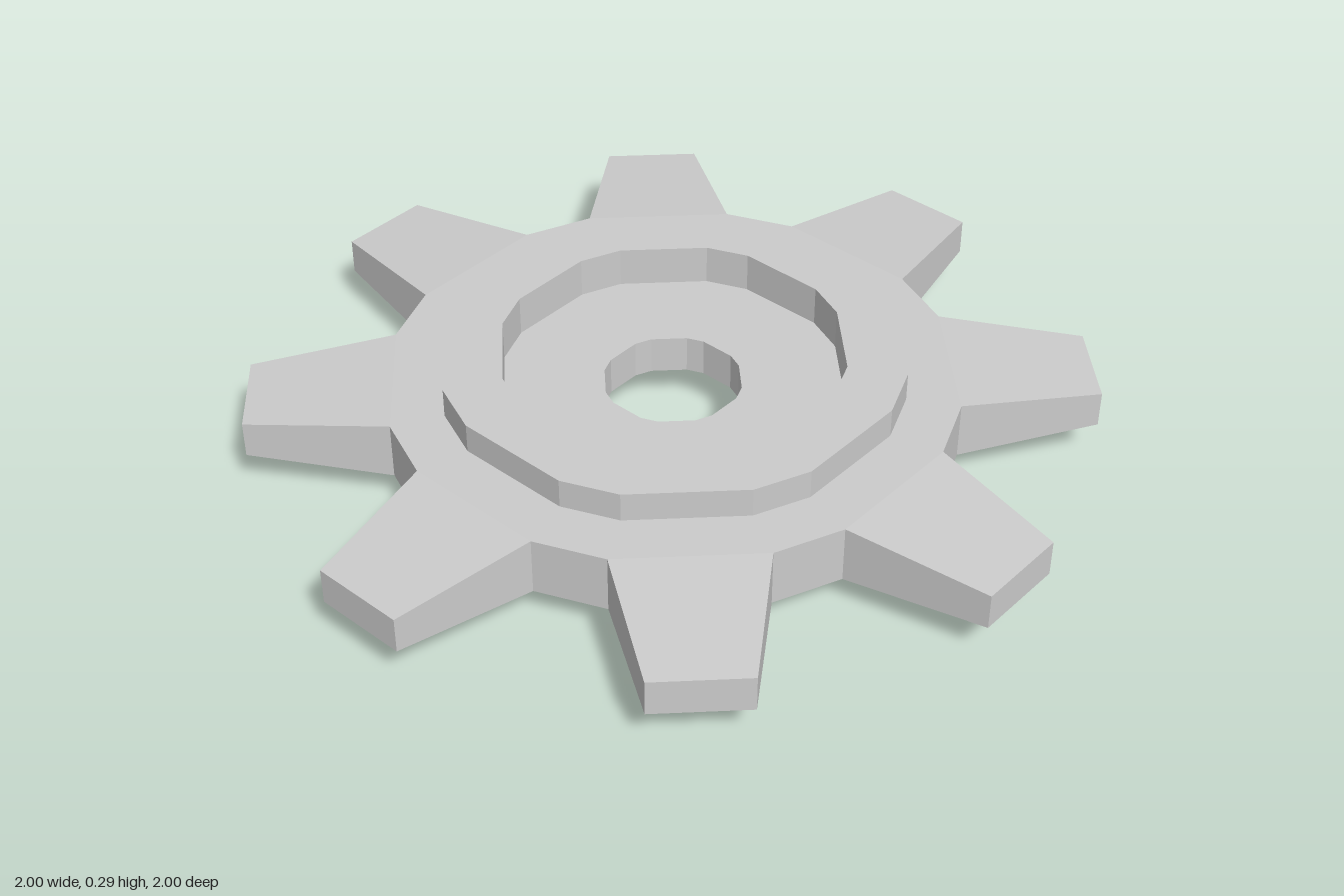
import * as THREE from 'three';

const TEETH = 8, FIRST = 11.45;      // tooth count and angle of the first tooth (degrees)
const ROOT_HALF = 15.1, TIP_HALF = 6.55;
const ROOT_R = 0.678, TIP_R = 1.0035;

const material = new THREE.MeshStandardMaterial({ color: 0xcccccc, flatShading: true });

// point at radius r, height y and angle in degrees, counter-clockwise from above
function point(r, y, deg) {
  const a = THREE.MathUtils.degToRad(deg);
  return [r * Math.cos(a), y, -r * Math.sin(a)];
}

function quadMesh(name, quads) {
  const positions = [];
  for (const [a, b, c, d] of quads) positions.push(...a, ...b, ...c, ...a, ...c, ...d);
  const geometry = new THREE.BufferGeometry();
  geometry.setAttribute('position', new THREE.Float32BufferAttribute(positions, 3));
  geometry.computeVertexNormals();
  const mesh = new THREE.Mesh(geometry, material);
  mesh.name = name;
  return mesh;
}

// the 16 uneven corners of every ring: both root edges of each tooth
const corners = [];
for (let i = 0; i < TEETH; i++) {
  const centre = FIRST + i * 360 / TEETH;
  corners.push(centre - ROOT_HALF, centre + ROOT_HALF);
}

// sweep an open [radius, height] profile round the corners
function sweep(name, profile, valleysOnly = false) {
  const quads = [];
  corners.forEach((a0, i) => {
    if (valleysOnly && i % 2 === 0) return;
    const a1 = corners[(i + 1) % corners.length];
    for (let j = 0; j + 1 < profile.length; j++) {
      const p = profile[j], q = profile[j + 1];
      quads.push([point(...p, a0), point(...p, a1), point(...q, a1), point(...q, a0)]);
    }
  });
  return quadMesh(name, quads);
}

// tapered tooth, open where it joins the disc
function tooth(centre) {
  const section = [
    [ROOT_R, 0.078, ROOT_HALF], [TIP_R, 0.104, TIP_HALF],
    [TIP_R, 0.194, TIP_HALF], [ROOT_R, 0.222, ROOT_HALF],
  ];
  const low = section.map(([r, y, h]) => point(r, y, centre - h));
  const high = section.map(([r, y, h]) => point(r, y, centre + h));
  const quads = [low, [...high].reverse()];
  for (let j = 0; j < 3; j++) quads.push([low[j], high[j], high[j + 1], low[j + 1]]);
  return quadMesh('tooth', quads);
}

export function createModel() {
  const gear = new THREE.Group();
  gear.name = 'gear';

  // recessed hub plate with the axle hole
  gear.add(sweep('hubPlate', [[0.41, 0.195], [0.165, 0.195], [0.165, 0.1], [0.41, 0.1]]));

  // raised rings above and below
  gear.add(sweep('upperRing', [[0.55, 0.222], [0.55, 0.295], [0.41, 0.295], [0.41, 0.195]]));
  gear.add(sweep('lowerRing', [[0.41, 0.1], [0.41, 0], [0.55, 0], [0.55, 0.078]]));

  // disc faces, and its outer wall between the teeth
  gear.add(sweep('discTop', [[ROOT_R, 0.222], [0.55, 0.222]]));
  gear.add(sweep('discBottom', [[0.55, 0.078], [ROOT_R, 0.078]]));
  gear.add(sweep('toothGaps', [[ROOT_R, 0.078], [ROOT_R, 0.222]], true));

  const teeth = new THREE.Group();
  teeth.name = 'teeth';
  for (let i = 0; i < TEETH; i++) teeth.add(tooth(FIRST + i * 360 / TEETH));
  gear.add(teeth);
  return gear;
}
